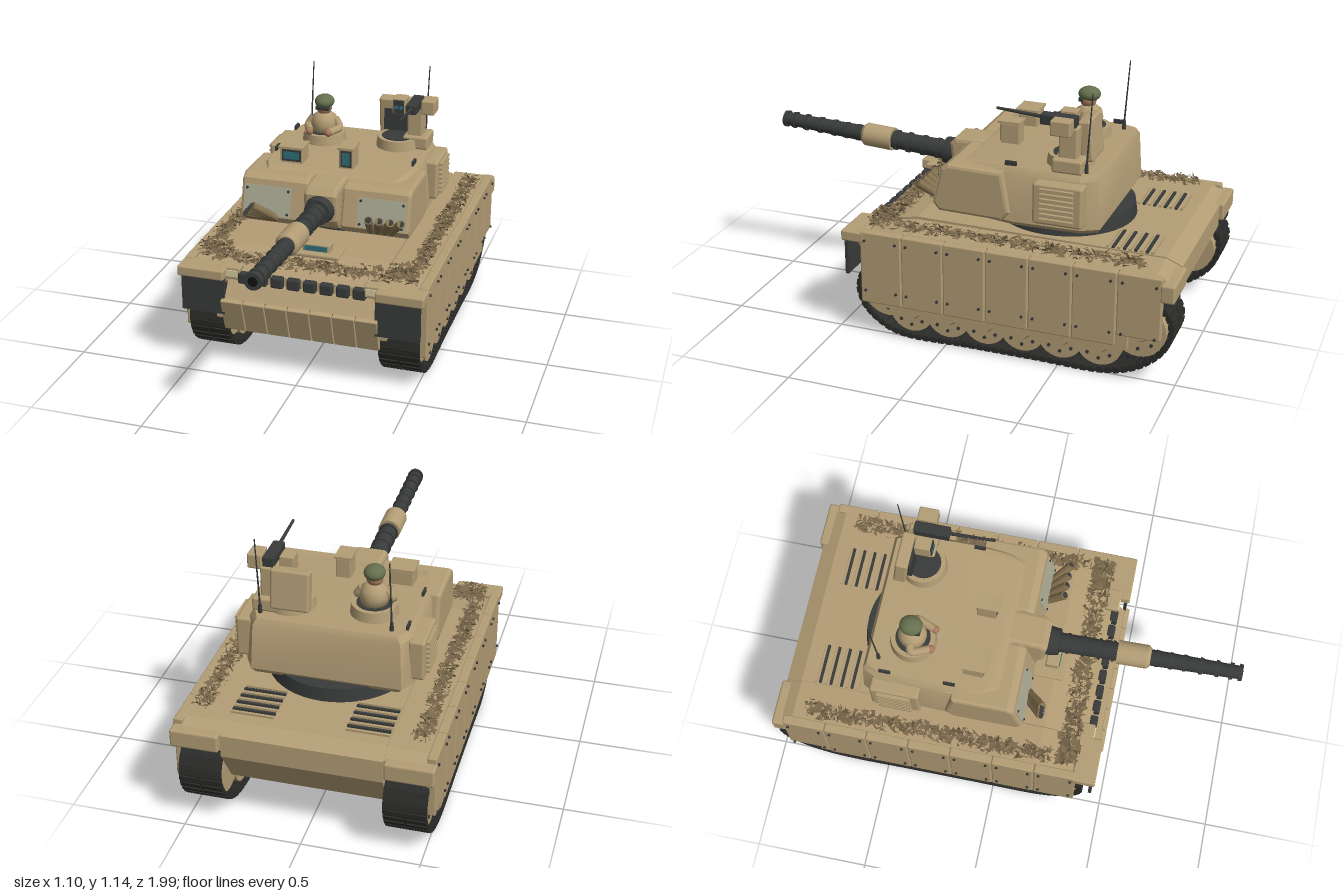
import * as THREE from 'three';
import { mergeGeometries, toCreasedNormals } from 'three/addons/utils/BufferGeometryUtils.js';
import { RoundedBoxGeometry } from 'three/addons/geometries/RoundedBoxGeometry.js';

const mat = (color, extra = {}) => new THREE.MeshStandardMaterial({ color, ...extra });
const TAN = mat(0xb39d75), DARK = mat(0x383b3a), TRACK = mat(0x2b2b29), GLASS = mat(0x2f6f7c),
  PLATE = mat(0xa9a993), TUBE = mat(0x84714f), LEAF = mat(0x78664a, { side: THREE.DoubleSide }),
  GREEN = mat(0x66704f), SKIN = mat(0xa77a5c), LAMP = mat(0xd8cfa0);
const V = (x, y, z) => new THREE.Vector3(x, y, z);
const SIDES = [-1, 1];

// Closed solid skinned over equal-sized rings of points, ordered clockwise from above, bottom to top
function loft(rings) {
  const n = rings[0].length, idx = [], last = (rings.length - 1) * n;
  for (let r = 0; r + 1 < rings.length; r++)
    for (let i = 0; i < n; i++) {
      const a = r * n + i, b = r * n + (i + 1) % n;
      idx.push(a, b, b + n, a, b + n, a + n);
    }
  for (let i = 1; i < n - 1; i++) idx.push(0, i + 1, i, last, last + i, last + i + 1);
  const g = new THREE.BufferGeometry();
  g.setAttribute('position', new THREE.Float32BufferAttribute(rings.flat(2), 3));
  g.setIndex(idx);
  return toCreasedNormals(g, 0.6);
}

// Side outline given as [z, y], extruded across x
function profile(pts, x0, x1, bevel = 0) {
  const shape = new THREE.Shape(pts.map(p => new THREE.Vector2(...p)));
  return new THREE.ExtrudeGeometry(shape, { depth: x1 - x0 - 2 * bevel, bevelEnabled: bevel > 0, bevelSize: bevel,
    bevelThickness: bevel, bevelOffset: -bevel, bevelSegments: 2 }).rotateY(-Math.PI / 2).translate(x1 - bevel, 0, 0);
}

export function createModel() {
  const root = new THREE.Group();
  const add = (name, geo, m, parent = root) => {
    const o = new THREE.Mesh(geo, m);
    o.name = name;
    parent.add(o);
    return o;
  };
  const box = (name, m, x0, x1, y0, y1, z0, z1, r = 0, parent = root) => {
    const w = Math.abs(x1 - x0), h = y1 - y0, d = z1 - z0;
    const o = add(name, r ? new RoundedBoxGeometry(w, h, d, 2, r) : new THREE.BoxGeometry(w, h, d), m, parent);
    o.position.set((x0 + x1) / 2, (y0 + y1) / 2, (z0 + z1) / 2);
    return o;
  };
  const rod = (name, m, a, b, r0, r1 = r0, seg = 12, parent = root) => {
    const o = add(name, new THREE.CylinderGeometry(r1, r0, a.distanceTo(b), seg), m, parent);
    o.position.copy(a).lerp(b, 0.5);
    o.quaternion.setFromUnitVectors(V(0, 1, 0), b.clone().sub(a).normalize());
    return o;
  };

  // Hull: belly tub, wide upper deck, sloping nose
  add('hull', profile([[0.34, 0.18], [0.45, 0.34], [0.4, 0.41], [0.37, 0.455], [0.2, 0.49], [-0.9, 0.48],
    [-0.97, 0.45], [-0.97, 0.35], [-0.86, 0.18]], -0.335, 0.335), TAN);
  add('upperDeck', profile([[0.4, 0.4], [0.4, 0.45], [0.2, 0.478], [-0.9, 0.475], [-0.96, 0.45], [-0.96, 0.37], [0.36, 0.37]], -0.505, 0.505), TAN);
  for (let i = 0; i < 8; i++) {
    const x = -0.255 + i * 0.073;
    box('spareTrackLink', DARK, x - 0.028, x + 0.028, 0.405, 0.455, 0.39, 0.425, 0.008);
  }
  for (let i = 0; i < 7; i++) {
    const x = -0.3 + i * 0.1;
    const p = box('noseArmourPanel', TAN, x - 0.0485, x + 0.0485, 0.18, 0.342, 0.425, 0.45, 0.004);
    p.rotation.x = 0.3;
  }
  box('noseArmourBack', TAN, -0.38, 0.38, 0.235, 0.26, 0.37, 0.43);
  box('driverHatch', TAN, -0.11, 0.11, 0.48, 0.5, 0.1, 0.24, 0.008);
  box('driverPeriscope', TAN, -0.062, 0.062, 0.49, 0.535, 0.15, 0.21, 0.008);
  box('driverPeriscopeGlass', GLASS, -0.05, 0.05, 0.503, 0.526, 0.205, 0.213);

  // Engine grilles on the rear deck
  for (const s of SIDES) for (let i = 0; i < 9; i++) {
    const z = -0.84 + i * 0.024;
    box('engineGrilleSlat', i % 2 ? DARK : TAN, s * 0.15, s * 0.33, 0.478, 0.49, z - 0.006, z + 0.006);
  }

  // Track loop as [z, y]
  const loop = new THREE.CatmullRomCurve3([[0.2, 0.013], [0.29, 0.045], [0.375, 0.12], [0.4, 0.21], [0.36, 0.3], [0.24, 0.335],
    [-0.2, 0.325], [-0.7, 0.335], [-0.86, 0.355], [-0.95, 0.315], [-0.977, 0.24], [-0.94, 0.14], [-0.83, 0.05], [-0.7, 0.013],
    [-0.4, 0.013], [-0.1, 0.013]].map(([z, y]) => V(0, y, z)), true, 'centripetal');
  const links = [], N = 88;
  for (let i = 0; i < N; i++) {
    const p = loop.getPointAt(i / N), t = loop.getTangentAt(i / N), angle = Math.atan2(-t.y, t.z);
    const place = g => links.push(g.rotateX(angle).translate(0, p.y, p.z));
    place(new THREE.BoxGeometry(0.18, 0.014, 0.037));
    for (const s of SIDES) place(new THREE.BoxGeometry(0.084, 0.026, 0.024).translate(s * 0.046, 0, 0));
    place(new THREE.BoxGeometry(0.012, 0.03, 0.014).translate(0, 0.012, 0));
  }
  const linkGeo = mergeGeometries(links);

  for (const s of SIDES) {
    const side = new THREE.Group();
    side.name = s > 0 ? 'leftRunningGear' : 'rightRunningGear';
    root.add(side);
    add('track', linkGeo, TRACK, side).position.x = s * 0.427;
    // Wheels with hubs and bolts
    const wheel = (name, z, y, r) => {
      rod(name, TAN, V(s * 0.35, y, z), V(s * 0.505, y, z), r, r, 28, side);
      rod('wheelHub', TAN, V(s * 0.5, y, z), V(s * 0.52, y, z), r * 0.45, r * 0.35, 16, side);
      for (let k = 0; k < 8; k++) {
        const a = k * Math.PI / 4, by = y + Math.sin(a) * r * 0.68, bz = z + Math.cos(a) * r * 0.68;
        rod('wheelBolt', DARK, V(s * 0.5, by, bz), V(s * 0.511, by, bz), 0.008, 0.008, 6, side);
      }
    };
    for (let i = 0; i < 6; i++) wheel('roadWheel', 0.16 - i * 0.167, 0.13, 0.1);
    wheel('idlerWheel', 0.27, 0.2, 0.115);
    wheel('driveSprocket', -0.84, 0.215, 0.115);

    // Side skirts with bolts and top hinge rail
    for (let i = 0; i < 7; i++) {
      const z = 0.285 - i * 0.1885;
      box('skirtPanel', TAN, s * 0.503, s * 0.543, i === 6 ? 0.2 : 0.15, 0.478, z - 0.0925, z + 0.0925, 0.006, side);
      for (const y of [0.21, 0.44]) for (const d of [-0.07, 0.07])
        rod('skirtBolt', DARK, V(s * 0.54, y, z + d), V(s * 0.551, y, z + d), 0.006, 0.006, 8, side);
    }
    box('skirtLowerRail', TAN, s * 0.505, s * 0.535, 0.135, 0.21, -0.8, 0.34, 0, side);

    // Front fender, mud flap, headlight and rear fender
    box('frontFender', TAN, s * 0.335, s * 0.545, 0.425, 0.472, 0.36, 0.465, 0.008, side);
    box('mudFlap', DARK, s * 0.335, s * 0.53, 0.265, 0.43, 0.44, 0.455, 0, side);
    box('headlightHousing', TAN, s * 0.275, s * 0.375, 0.42, 0.475, 0.36, 0.42, 0.006, side);
    box('headlightLens', LAMP, s * 0.285, s * 0.365, 0.435, 0.463, 0.415, 0.425, 0, side);
    box('rearFender', TAN, s * 0.34, s * 0.545, 0.375, 0.455, -0.99, -0.93, 0.01, side);
    box('rearLight', DARK, s * 0.4, s * 0.5, 0.34, 0.377, -0.98, -0.94, 0, side);
  }

  // Camouflage foliage: scattered leaf triangles
  let seed = 7;
  const rnd = () => (seed = (seed * 16807) % 2147483647) / 2147483647;
  const foliage = (n, x0, x1, y0, y1, z0, z1) => {
    const pos = [];
    for (let i = 0; i < n; i++) {
      const c = [x0 + rnd() * (x1 - x0), y0 + rnd() * (y1 - y0), z0 + rnd() * (z1 - z0)];
      for (let k = 0; k < 3; k++) pos.push(c[0] + (rnd() - 0.5) * 0.045, c[1] + (rnd() - 0.5) * 0.022, c[2] + (rnd() - 0.5) * 0.045);
    }
    const g = new THREE.BufferGeometry();
    g.setAttribute('position', new THREE.Float32BufferAttribute(pos, 3));
    g.computeVertexNormals();
    add('foliage', g, LEAF);
  };
  for (const s of SIDES) {
    foliage(650, s * 0.43, s * 0.485, 0.485, 0.515, -0.84, 0.25);
    foliage(160, s * 0.36, s * 0.48, 0.48, 0.535, 0.28, 0.36);
  }
  foliage(500, -0.4, 0.4, 0.472, 0.5, 0.28, 0.36);

  // Turret body, built from half outlines [x, z] mirrored across x
  const turret = new THREE.Group();
  turret.name = 'turret';
  root.add(turret);
  const ring = (half, y, frontLift = 0) => {
    const pts = half.map(([x, z]) => [x, y + (z > -0.15 ? frontLift : 0), z]);
    return [...pts, ...pts.map(([x, a, z]) => [-x, a, z]).reverse()].reverse();
  };
  const low = [[0.33, 0.05], [0.36, 0], [0.37, -0.25], [0.36, -0.54], [0.32, -0.612]];
  const high = [[0.31, 0.02], [0.345, -0.07], [0.35, -0.25], [0.345, -0.53], [0.31, -0.6]];
  const roof = [[0.29, -0.02], [0.32, -0.09], [0.33, -0.25], [0.325, -0.52], [0.295, -0.585]];
  // outlines run front to back on +x; reversing gives the winding loft expects
  const rings = [ring(low.map(([x, z]) => [x * 0.95, z * 0.98]), 0.53, 0.02), ring(low, 0.55, 0.02), ring(high, 0.755, -0.005), ring(roof, 0.782, -0.005)];
  add('turretBody', loft(rings.map(r => r.slice().reverse())), TAN, turret).material = mat(0xb39d75, { side: THREE.DoubleSide });
  const collar = add('turretRing', new THREE.CylinderGeometry(0.3, 0.31, 0.07, 48), DARK, turret);
  collar.position.set(0, 0.505, -0.365);

  for (const s of SIDES) {
    // Cheek armour with bolted plate
    const [a, b] = s > 0 ? [0.075, 0.385] : [-0.385, -0.075];
    add('cheekArmour', profile([[0.08, 0.555], [0.11, 0.59], [0.07, 0.75], [0.04, 0.77], [-0.2, 0.765], [-0.235, 0.59], [-0.2, 0.55]], a, b, 0.014), TAN, turret);
    const tilt = -0.245;
    const plate = box('cheekPlate', PLATE, s * 0.152, s * 0.368, 0.595, 0.725, 0.089, 0.097, 0, turret);
    plate.rotation.x = tilt;
    for (const x of [0.165, 0.355]) for (const y of [0.61, 0.71]) {
      const z = 0.097 - (y - 0.66) * 0.25;
      rod('plateBolt', DARK, V(s * x, y, z), V(s * x, y, z + 0.006), 0.006, 0.006, 8, turret);
    }
    // Smoke launcher tubes, fanned outwards
    for (let i = 0; i < 4; i++) {
      const k = s > 0 ? 1 : 0.35, b0 = V(s * (0.215 + i * 0.03 * k), 0.585, 0.1);
      const tip = V(s * ((s > 0 ? 0.225 : 0.3) + i * 0.048 * (s > 0 ? 1 : 0.2)), 0.665 - (s > 0 ? 0 : i * 0.012), 0.18);
      rod('smokeTube', TUBE, b0, tip, 0.017, 0.019, 14, turret);
      rod('smokeTubeMouth', DARK, tip, tip.clone().add(V(0, 0.001, 0.001)), 0.014, 0.014, 14, turret);
    }
    // Louvred side bin
    box('sideBin', TAN, s * 0.33, s * 0.4, 0.57, 0.75, -0.555, -0.34, 0.012, turret);
    for (let i = 0; i < 7; i++) box('binLouvre', TAN, s * 0.39, s * 0.415, 0.59 + i * 0.022, 0.602 + i * 0.022, -0.52, -0.375, 0, turret);
    for (const z of [-0.5, -0.22]) box('liftHandle', DARK, s * 0.315, s * 0.325, 0.775, 0.8, z - 0.025, z + 0.025, 0, turret);
  }

  // Gun: mantlet, sleeve, ringed barrel and bore evacuator along a slightly raised axis
  add('mantlet', profile([[-0.02, 0.56], [0.11, 0.575], [0.145, 0.62], [0.155, 0.74], [0.13, 0.768], [-0.02, 0.772]], -0.077, 0.077, 0.018), TAN, turret);
  const gun = z => V(0, 0.678 + (z - 0.2) * 0.058, z);
  const gunPart = (name, m, z0, z1, r0, r1) => rod(name, m, gun(z0), gun(z1), r0, r1, 24, turret);
  gunPart('gunSleeve', DARK, 0.1, 0.2, 0.072, 0.058);
  gunPart('barrelRear', DARK, 0.18, 0.46, 0.043, 0.039);
  gunPart('boreEvacuator', TAN, 0.455, 0.585, 0.052, 0.052);
  gunPart('evacuatorCap', TAN, 0.585, 0.6, 0.052, 0.04);
  gunPart('barrelFront', DARK, 0.59, 0.995, 0.036, 0.029);
  for (const z of [0.23, 0.3, 0.37, 0.43]) gunPart('barrelBand', DARK, z, z + 0.012, 0.046, 0.046);
  for (const z of [0.62, 0.68, 0.74, 0.81, 0.88, 0.94, 0.98]) gunPart('barrelBand', DARK, z, z + 0.016, 0.038, 0.036);
  gunPart('bore', mat(0x111111), 0.99, 0.997, 0.02, 0.02);

  // Roof sights
  for (const [x0, x1, top] of [[-0.26, -0.155, 0.845], [0.013, 0.079, 0.868]]) {
    box('sightHousing', TAN, x0, x1, 0.77, top, -0.17, -0.085, 0.005, turret);
    box('sightHood', TAN, x0 - 0.005, x1 + 0.005, top, top + 0.01, -0.175, -0.072, 0, turret);
    box('sightFrame', DARK, x0 + 0.008, x1 - 0.008, 0.785, top - 0.006, -0.09, -0.083, 0, turret);
    box('sightGlass', GLASS, x0 + 0.017, x1 - 0.017, 0.795, top - 0.016, -0.085, -0.08, 0, turret);
  }

  // Hatches and commander
  for (const [x, z] of [[-0.155, -0.41], [0.19, -0.44]]) {
    rod('hatchRing', TAN, V(x, 0.775, z), V(x, 0.825, z), 0.102, 0.095, 32, turret);
    rod('hatchOpening', DARK, V(x, 0.82, z), V(x, 0.828, z), 0.075, 0.075, 32, turret);
  }
  const man = new THREE.Group();
  man.name = 'commander';
  man.position.set(-0.155, 0.82, -0.41);
  turret.add(man);
  add('torso', new THREE.LatheGeometry([[0, 0], [0.055, 0], [0.062, 0.04], [0.055, 0.075], [0.03, 0.095], [0, 0.1]].map(p => new THREE.Vector2(...p)), 20), TAN, man);
  for (const s of SIDES) {
    const arm = new THREE.CatmullRomCurve3([V(s * 0.05, 0.07, 0), V(s * 0.075, 0.03, 0.01), V(s * 0.06, 0.025, 0.05), V(s * 0.045, 0.025, 0.085)]);
    add('arm', new THREE.TubeGeometry(arm, 12, 0.018, 10), TAN, man);
    add('hand', new THREE.SphereGeometry(0.018, 10, 8), SKIN, man).position.set(s * 0.045, 0.025, 0.088);
  }
  add('head', new THREE.SphereGeometry(0.036, 18, 14), SKIN, man).position.set(0, 0.118, 0.005);
  box('goggles', DARK, -0.032, 0.032, 0.112, 0.132, 0.01, 0.043, 0.006, man);
  const helmet = add('helmet', new THREE.SphereGeometry(0.045, 20, 14), GREEN, man);
  helmet.position.set(0, 0.145, 0);
  helmet.scale.set(1, 0.72, 1.1);

  // Weapon station: shield, optics, mount, machine gun, ammunition box
  const shield = box('hatchShield', TAN, 0.085, 0.25, 0.81, 0.985, -0.545, -0.49, 0.01, turret);
  shield.rotation.x = 0.12;
  box('shieldInset', DARK, 0.112, 0.228, 0.835, 0.935, -0.5, -0.475, 0, turret);
  box('weaponMount', TAN, 0.235, 0.305, 0.8, 0.97, -0.5, -0.42, 0.008, turret);
  box('mountBase', TAN, 0.22, 0.335, 0.78, 0.84, -0.53, -0.4, 0.01, turret);
  box('opticBox', TAN, 0.17, 0.23, 0.94, 1.015, -0.47, -0.4, 0.005, turret);
  box('opticFace', DARK, 0.176, 0.224, 0.945, 1.008, -0.402, -0.395, 0, turret);
  for (const x of [0.188, 0.212]) rod('opticLens', GLASS, V(x, 0.975, -0.398), V(x, 0.975, -0.39), 0.009, 0.009, 12, turret);
  box('machineGun', DARK, 0.247, 0.297, 0.968, 1.012, -0.49, -0.335, 0.005, turret);
  rod('machineGunBarrel', DARK, V(0.272, 0.995, -0.34), V(0.272, 1.008, -0.14), 0.008, 0.006, 10, turret);
  box('ammunitionBox', TAN, 0.302, 0.364, 0.95, 1.015, -0.485, -0.4, 0.006, turret);

  // Antennas
  for (const [x, lean, top] of [[-0.26, 0.006, 1.1], [0.295, 0.006, 1.13]]) {
    rod('antennaBase', DARK, V(x, 0.77, -0.54), V(x, 0.82, -0.54), 0.01, 0.007, 10, turret);
    rod('antenna', DARK, V(x, 0.81, -0.54), V(x + lean, top, -0.56), 0.004, 0.0025, 6, turret);
  }
  return root;
}
